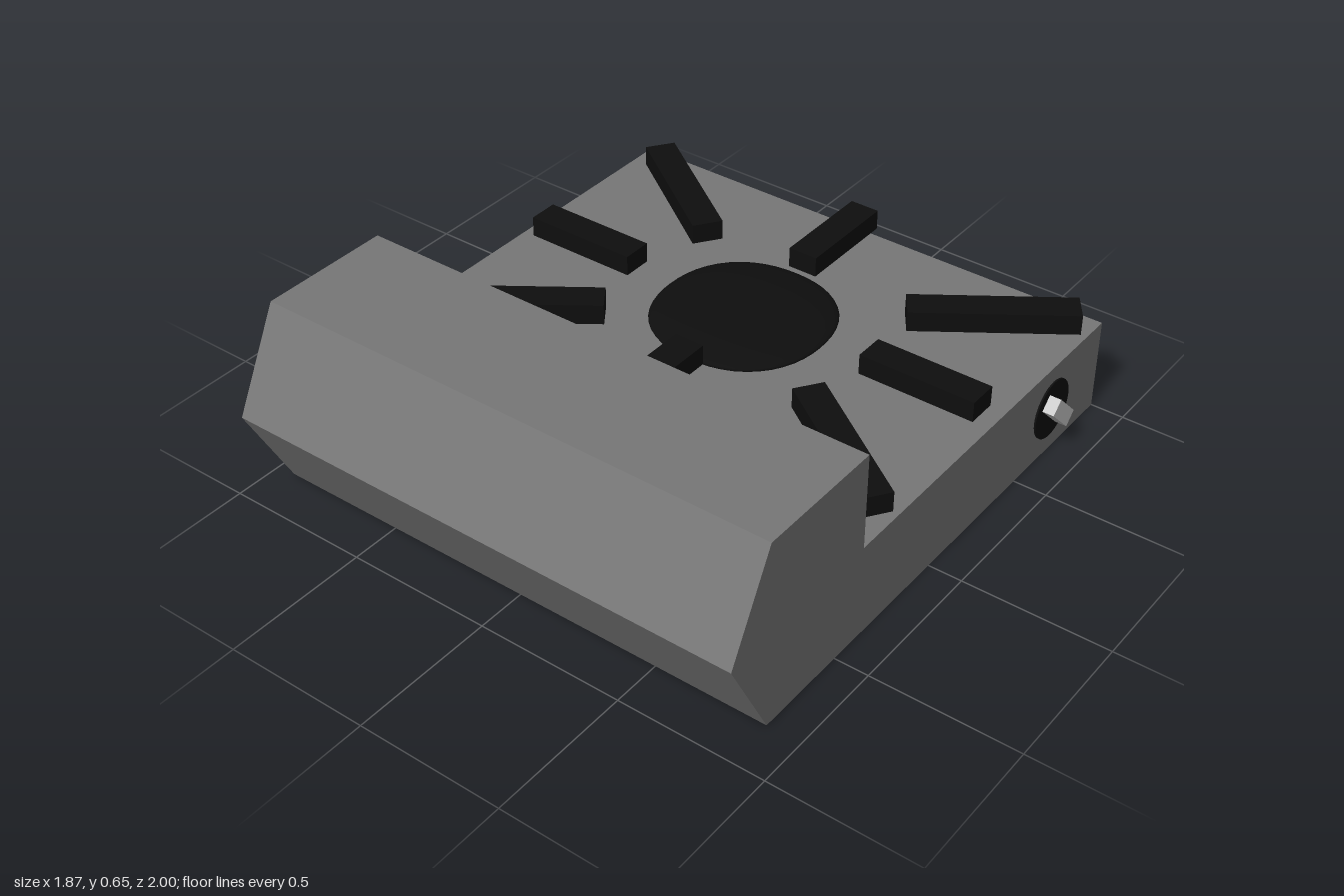
import * as THREE from 'three';

const RIGHT = 0.885, WIDTH = 1.82, DECK = 0.325;

export function createModel() {
  const model = new THREE.Group();
  model.name = 'stove';
  const bodyMat = new THREE.MeshStandardMaterial({ color: 0x777777 });
  const blackMat = new THREE.MeshStandardMaterial({ color: 0x0e0e0e });
  const greyMat = new THREE.MeshStandardMaterial({ color: 0xcccccc });

  const add = (name, geometry, material, x = 0, y = 0, z = 0) => {
    const mesh = new THREE.Mesh(geometry, material);
    mesh.name = name;
    mesh.position.set(x, y, z);
    model.add(mesh);
    return mesh;
  };

  // Body: side profile (z, y) swept across the width
  const profile = new THREE.Shape([
    [-1, 0], [0.83, 0], [1, DECK], [0.83, 0.655], [0.375, 0.655], [0.375, DECK], [-1, DECK],
  ].map(([z, y]) => new THREE.Vector2(z, y)));
  const body = new THREE.ExtrudeGeometry(profile, { depth: WIDTH, bevelEnabled: false });
  body.rotateY(-Math.PI / 2);
  add('body', body, bodyMat, RIGHT);

  // Burner: flattened dome with a slightly squared outline
  const burner = new THREE.SphereGeometry(1, 48, 24);
  const p = burner.attributes.position;
  for (let i = 0; i < p.count; i++) {
    const x = p.getX(i), z = p.getZ(i), r = Math.hypot(x, z);
    if (r < 1e-6) continue;
    const n = 2.2;
    const k = Math.pow(Math.abs(x / r) ** n + Math.abs(z / r) ** n, -1 / n);
    p.setX(i, x * k);
    p.setZ(i, z * k);
  }
  burner.scale(0.295, 0.034, 0.295);
  burner.computeVertexNormals();
  add('burner', burner, blackMat, -0.025, 0.357, -0.31);

  // Grate bars: inner and outer ends (x, z) around the burner
  const bars = [
    [-0.015, -0.62, -0.015, -0.985], [-0.015, -0.01, -0.015, 0.36],
    [-0.455, -0.31, -0.855, -0.31], [0.445, -0.31, 0.85, -0.31],
  ];
  for (const [inner, outer] of [[-0.37, -0.81], [0.41, 0.857]]) {
    bars.push([inner, -0.58, outer, -0.892], [inner, -0.037, outer, 0.275]);
  }
  for (const [x0, z0, x1, z1] of bars) {
    const length = Math.hypot(x1 - x0, z1 - z0);
    const bar = add('grateBar', new THREE.BoxGeometry(0.104, 0.07, length), blackMat,
      (x0 + x1) / 2, 0.399, (z0 + z1) / 2);
    bar.rotation.y = Math.atan2(x1 - x0, z1 - z0);
  }

  // Control knob: thin dial and a tilted grip on the left side
  const dial = new THREE.CylinderGeometry(0.103, 0.103, 0.012, 40);
  dial.rotateZ(Math.PI / 2);
  add('knobDial', dial, blackMat, RIGHT, 0.165, -0.7);
  const grip = add('knobGrip', new THREE.BoxGeometry(0.045, 0.057, 0.14), greyMat, 0.9085, 0.165, -0.703);
  grip.rotation.x = -Math.PI / 4;

  return model;
}
